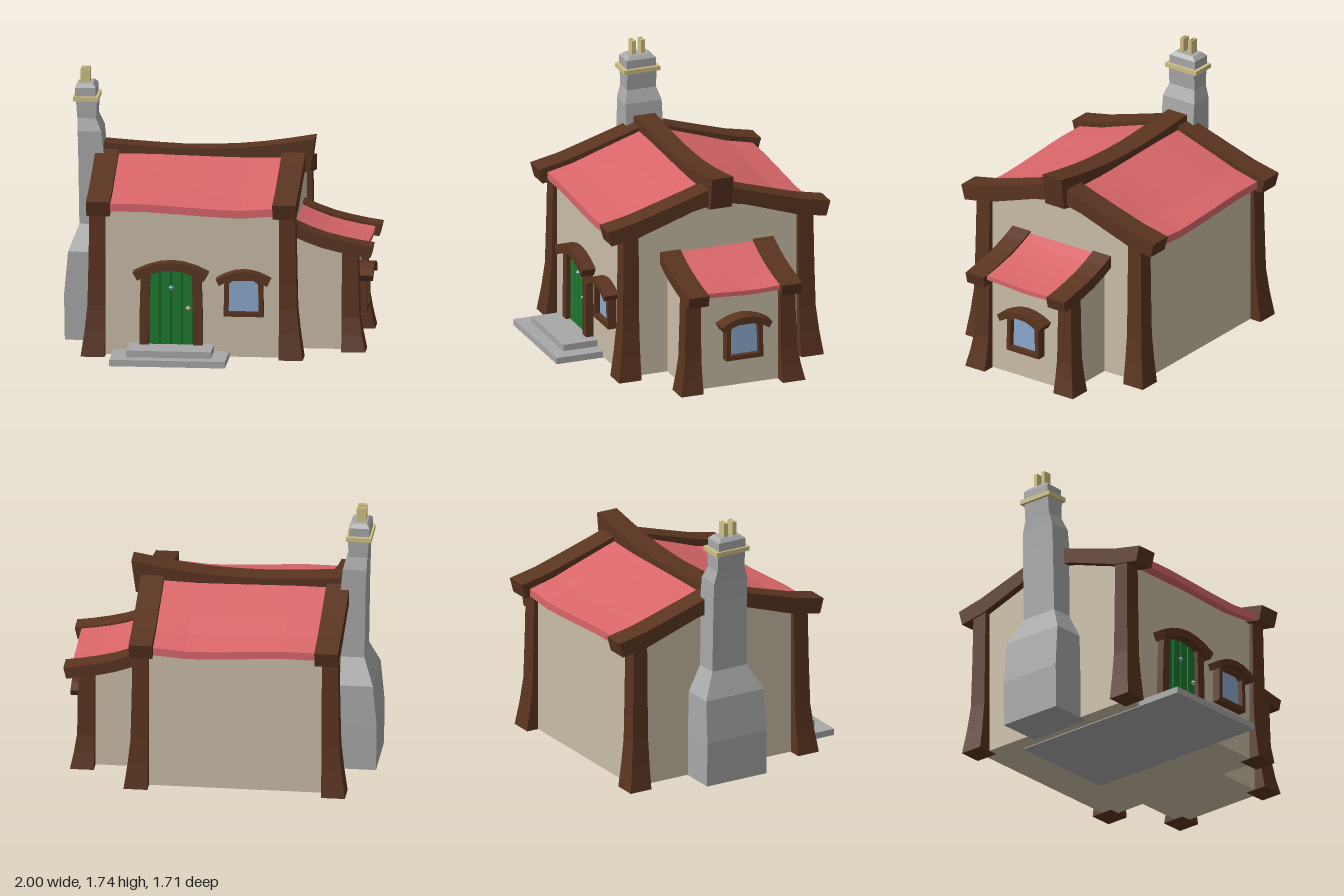
import * as THREE from 'three';

const mat = (color) => new THREE.MeshStandardMaterial({ color, flatShading: true, roughness: 1, side: THREE.DoubleSide });
const WOOD = mat(0x5a3420), WALL = mat(0xcabda7), ROOF = mat(0xd9666a), STONE = mat(0xa8a8a8);
const GOLD = mat(0xd0c184), GLASS = mat(0x8ba9cd), GREEN = mat(0x1c7a30), DARK = mat(0x0d4018);
const MID = -0.09; // z of the ridge and of the side wing

// Linear interpolation in a table of [position, value, ...] rows
function at(table, t, col = 1) {
  if (t <= table[0][0]) return table[0][col];
  for (let i = 1; i < table.length; i++) {
    const a = table[i - 1], b = table[i];
    if (t <= b[0]) return a[col] + (b[col] - a[col]) * (t - a[0]) / (b[0] - a[0]);
  }
  return table[table.length - 1][col];
}

function add(parent, name, geometry, material) {
  const mesh = new THREE.Mesh(geometry, material);
  mesh.name = name;
  parent.add(mesh);
  return mesh;
}

// Box given by its limits, optionally subdivided and bent by a rule
function box(x0, x1, y0, y1, z0, z1, segs = [1, 1, 1], rule) {
  const g = new THREE.BoxGeometry(x1 - x0, y1 - y0, z1 - z0, ...segs);
  g.translate((x0 + x1) / 2, (y0 + y1) / 2, (z0 + z1) / 2);
  if (rule) {
    const p = g.attributes.position, v = new THREE.Vector3();
    for (let i = 0; i < p.count; i++) {
      rule(v.fromBufferAttribute(p, i));
      p.setXYZ(i, v.x, v.y, v.z);
    }
    g.computeVertexNormals();
  }
  return g;
}

const polygon = (pts) => new THREE.Shape(pts.map(([x, y]) => new THREE.Vector2(x, y)));
const extrude = (shape, depth) => new THREE.ExtrudeGeometry(shape, { depth, bevelEnabled: false });

// Corner post: straight inner corner, foot flaring outwards
const FLARE = [[0, 0.155], [0.14, 0.135], [0.3, 0.115], [0.6, 0.108], [1, 0.102]];
function post(x, z, sx, sz, height) {
  return box(0, 1, 0.004, height, 0, 1, [1, 6, 1], (v) => {
    const w = at(FLARE, v.y / height);
    v.x = x + sx * v.x * w;
    v.z = z + sz * v.z * w;
  });
}

// Arched hood centred on x = 0 with its crown at y
function hood(half, rise, thick, y, depth) {
  return box(-half, half, 0, 1, -0.02, depth, [6, 1, 1], (v) => {
    const k = Math.abs(v.x / half);
    const top = v.y > 0.5;
    v.y = y - rise * k ** 1.9 - (top ? 0 : thick);
    if (!top) v.x *= 0.88;
  });
}

// Window standing on y = 0 against the plane z = 0
function makeWindow() {
  const g = new THREE.Group();
  g.name = 'window';
  const frame = polygon([[-0.128, 0], [0.128, 0], [0.122, 0.255], [-0.122, 0.255]]);
  frame.holes.push(polygon([[-0.098, 0.03], [-0.094, 0.215], [-0.065, 0.236], [0.065, 0.236], [0.094, 0.215], [0.098, 0.03]]));
  add(g, 'windowFrame', extrude(frame, 0.055), WOOD);
  add(g, 'windowPane', box(-0.11, 0.11, 0.015, 0.245, -0.01, 0.02), GLASS);
  add(g, 'windowHood', hood(0.175, 0.055, 0.04, 0.303, 0.095), WOOD);
  return g;
}

function makeDoor() {
  const g = new THREE.Group();
  g.name = 'door';
  add(g, 'doorBacking', box(-0.14, 0.14, 0.08, 0.59, -0.02, 0.012), DARK);
  for (let i = 0; i < 4; i++) {
    const x = -0.14 + i * 0.0705;
    add(g, 'doorPlank', box(x, x + 0.064, 0.085, 0.585, -0.01, 0.022), GREEN);
  }
  for (const s of [-1, 1]) {
    add(g, 'doorPost', box(0, 1, 0.08, 0.57, -0.02, 0.05, [1, 4, 1], (v) => {
      const t = (v.y - 0.08) / 0.49;
      const inner = 0.143 - 0.012 * t * t;
      v.x = s * (inner + v.x * 0.06);
    }), WOOD);
  }
  add(g, 'doorHood', hood(0.243, 0.07, 0.052, 0.633, 0.09), WOOD);
  add(g, 'doorKnob', new THREE.OctahedronGeometry(0.019).translate(0.11, 0.325, 0.032), GOLD);
  add(g, 'doorPeephole', new THREE.OctahedronGeometry(0.019).translate(0, 0.455, 0.022), GLASS);
  return g;
}

function makeHouse() {
  const g = new THREE.Group();
  g.name = 'mainHouse';
  // Gabled wall block
  const half = [[-0.625, 0.006], [-0.625, 0.965], [-0.35, 1.06], [-0.1, 1.15]];
  const outline = [...half, ...half.map(([z, y]) => [-z, y]).reverse()];
  add(g, 'walls', extrude(polygon(outline), 1.25).rotateY(-Math.PI / 2).translate(0.49, 0, MID), WALL);

  for (const sx of [-1, 1]) for (const sz of [-1, 1]) {
    add(g, 'cornerPost', post(-0.138 + sx * 0.558, MID + sz * 0.55, sx, sz, 0.98), WOOD);
  }

  // Roof sheet: concave slopes with a wavering eave
  const slope = [[0, 1.222], [0.18, 1.165], [0.355, 1.108], [0.53, 1.048], [0.71, 1.008]];
  const sag = [[-0.66, 0], [-0.47, 0.003], [-0.2, -0.012], [0, -0.024], [0.2, -0.03], [0.385, -0.01]];
  add(g, 'roof', box(-0.7, 0.43, 0, 0.05, -0.705, 0.705, [9, 1, 8], (v) => {
    const d = Math.abs(v.z);
    v.y += at(slope, d) - 0.05 + at(sag, v.x) * (0.3 + d);
    v.z += MID;
  }), ROOF);

  // Curved gable rafters
  const rafter = [[0, 1.25, 1.13], [0.19, 1.188, 1.092], [0.38, 1.13, 1.03], [0.57, 1.073, 0.968], [0.765, 1.033, 0.935]];
  for (const x of [-0.81, 0.385]) {
    add(g, 'gableRafter', box(x, x + 0.15, 0, 1, -0.765, 0.765, [1, 1, 8], (v) => {
      const top = v.y > 0.5;
      v.y = at(rafter, Math.abs(v.z), top ? 1 : 2);
      v.z = v.z * (top ? 1 : 0.965) + MID;
    }), WOOD);
  }

  // Sagging ridge beam with a raised nose
  const ridge = [[-0.76, 1.268], [-0.5, 1.25], [-0.18, 1.235], [0.17, 1.252], [0.4, 1.285], [0.6, 1.32]];
  add(g, 'ridgeBeam', box(-0.76, 0.597, 0, 1, MID - 0.074, MID + 0.074, [8, 1, 1], (v) => {
    const top = v.y > 0.5;
    v.y = at(ridge, v.x) - (top ? 0 : 0.215);
    if (!top && v.x > 0.5) v.x -= 0.03;
  }), WOOD);
  return g;
}

function makeWing() {
  const g = new THREE.Group();
  g.name = 'sideWing';
  const line = [[0.48, 0.835], [0.63, 0.768], [0.75, 0.735], [0.87, 0.71], [1, 0.69]];
  const wall = polygon([[0.45, 0.006], [0.865, 0.006], [0.865, 0.66], [0.75, 0.7], [0.63, 0.735], [0.45, 0.8]]);
  add(g, 'wingWalls', extrude(wall, 0.68).translate(0, 0, MID - 0.34), WALL);
  add(g, 'wingRoof', box(0.48, 0.955, 0, 0.03, MID - 0.27, MID + 0.27, [5, 1, 6], (v) => {
    v.y += at(line, v.x) - 0.045 + 0.008 * Math.sin(v.z * 9) * (v.x - 0.48) / 0.475;
  }), ROOF);
  for (const s of [-1, 1]) {
    add(g, 'wingPost', post(0.797, MID + s * 0.273, 1, s, 0.665), WOOD);
    const z = MID + s * 0.32;
    add(g, 'wingRafter', box(0.48, 0.998, 0, 1, z - 0.07, z + 0.07, [5, 1, 1], (v) => {
      const top = v.y > 0.5;
      v.y = at(line, v.x) - (top ? 0 : 0.075);
      if (!top) v.x -= 0.018;
    }), WOOD);
  }
  return g;
}

function makeChimney() {
  const g = new THREE.Group();
  g.name = 'chimney';
  // Rows: height, outer x, inner x, half depth
  const rows = [[0.004, -0.995, -0.7, 0.222], [0.3, -1, -0.7, 0.222], [0.58, -0.975, -0.7, 0.215], [0.745, -0.91, -0.7, 0.13],
    [1.22, -0.918, -0.757, 0.126], [1.35, -0.922, -0.77, 0.124], [1.43, -0.926, -0.805, 0.1], [1.55, -0.935, -0.8, 0.1],
    [1.575, -0.94, -0.808, 0.1], [1.628, -0.94, -0.808, 0.1], [1.652, -0.92, -0.828, 0.072]];
  const n = rows.length - 1;
  add(g, 'chimneyStack', box(0, 1, 0, n, -1, 1, [1, n, 1], (v) => {
    const [y, outer, inner, hz] = rows[Math.round(v.y)];
    v.set(v.x < 0.5 ? outer : inner, y, MID + v.z * hz);
  }), STONE);
  add(g, 'chimneyBand', box(-0.953, -0.79, 1.543, 1.572, MID - 0.123, MID + 0.123), GOLD);
  // Two hollow pots
  for (const z of [-0.055, -0.118]) {
    const pot = polygon([[-0.03, -0.014], [0.03, -0.014], [0.03, 0.014], [-0.03, 0.014]]);
    pot.holes.push(polygon([[-0.02, -0.006], [-0.02, 0.006], [0.02, 0.006], [0.02, -0.006]]));
    add(g, 'chimneyPot', extrude(pot, 0.1).rotateX(-Math.PI / 2).translate(-0.88, 1.643, z), GOLD);
  }
  return g;
}

export function createModel() {
  const model = new THREE.Group();
  model.name = 'cottage';
  model.add(makeHouse(), makeWing(), makeChimney());

  const door = makeDoor();
  door.position.set(-0.273, 0, 0.535);
  const frontWindow = makeWindow();
  frontWindow.position.set(0.193, 0.28, 0.535);
  const sideWindow = makeWindow();
  sideWindow.position.set(0.88, 0.2, -0.107);
  sideWindow.rotation.y = Math.PI / 2;
  // Thin backing so the side window meets its wall
  add(sideWindow, 'windowBacking', box(-0.122, 0.122, 0, 0.25, -0.02, 0), WOOD);
  model.add(door, frontWindow, sideWindow);

  // Door steps; the lower slab runs on under the house
  add(model, 'lowerStep', box(-0.645, 0.098, 0, 0.042, -0.45, 0.855), STONE);
  add(model, 'upperStep', box(-0.545, 0, 0.042, 0.085, 0.3, 0.77), STONE);
  return model;
}
